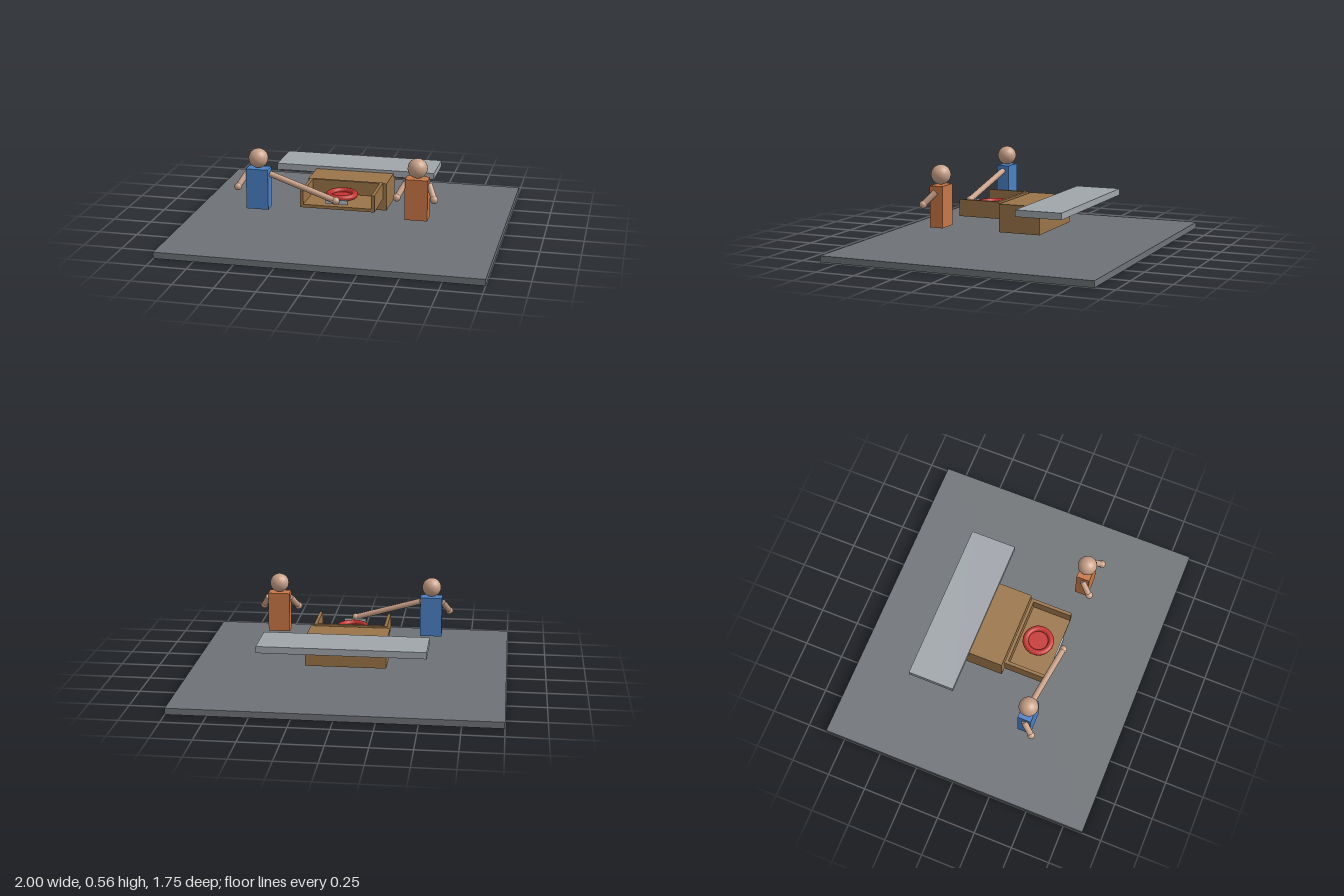
import * as THREE from 'three';

const mat = (name, color) => Object.assign(new THREE.MeshStandardMaterial({ color }), { name });

export function createModel() {
  const model = new THREE.Group();
  model.name = 'drawerScene';
  const floorGrey = mat('floor grey', 0x6e7276), slabGrey = mat('worktop grey', 0xa0a5ab);
  const wood = mat('wood', 0x9a7448), red = mat('red', 0xc23330), skin = mat('skin', 0xc8a088);
  const blue = mat('blue', 0x4a80c4), orange = mat('orange', 0xc87646), silver = mat('silver', 0xb4c0c8);

  const add = (parent, name, geometry, material, x = 0, y = 0, z = 0) => {
    const mesh = new THREE.Mesh(geometry, material);
    mesh.name = name;
    mesh.position.set(x, y, z);
    parent.add(mesh);
    return mesh;
  };
  // box given by its lower and upper limits
  const box = (parent, name, material, [x0, x1], [y0, y1], [z0, z1]) =>
    add(parent, name, new THREE.BoxGeometry(x1 - x0, y1 - y0, z1 - z0), material,
      (x0 + x1) / 2, (y0 + y1) / 2, (z0 + z1) / 2);
  const group = (name) => {
    const g = new THREE.Group();
    g.name = name;
    model.add(g);
    return g;
  };

  // floor, worktop and cabinet
  box(model, 'floor', floorGrey, [-1, 1], [0, 0.04], [-0.875, 0.875]);
  box(model, 'worktop', slabGrey, [-0.52, 0.52], [0.273, 0.315], [-0.488, -0.19]);
  box(model, 'cabinet', wood, [-0.255, 0.255], [0.118, 0.296], [-0.24, 0.032]);

  // drawer, open at the top and front
  const drawer = group('drawer');
  box(drawer, 'drawerBottom', wood, [-0.235, 0.235], [0.198, 0.218], [0.042, 0.315]);
  box(drawer, 'drawerBack', wood, [-0.215, 0.215], [0.218, 0.305], [0.042, 0.062]);
  for (const s of [-1, 1]) {
    const xs = [s * 0.235, s * 0.215].sort((a, b) => a - b);
    box(drawer, 'drawerSide', wood, xs, [0.218, 0.305], [0.042, 0.315]);
  }
  box(drawer, 'handle', silver, [-0.07, 0.07], [0.236, 0.264], [0.315, 0.327]);

  // red ring with a thin disc across its middle
  const ring = group('ring');
  add(ring, 'ringRim', new THREE.TorusGeometry(0.081, 0.019, 12, 36).rotateX(Math.PI / 2), red, 0, 0.255, 0.18);
  add(ring, 'ringDisc', new THREE.CylinderGeometry(0.072, 0.072, 0.012, 36), red, 0, 0.245, 0.18);

  // arm: a straight cylinder from shoulder to hand with a ball for the hand
  const addArm = (person, from, to) => {
    const a = new THREE.Vector3(...from), b = new THREE.Vector3(...to);
    const arm = add(person, 'arm', new THREE.CylinderGeometry(0.019, 0.019, a.distanceTo(b), 16), skin);
    arm.position.copy(a).lerp(b, 0.5);
    arm.quaternion.setFromUnitVectors(new THREE.Vector3(0, 1, 0), b.clone().sub(a).normalize());
    add(person, 'hand', new THREE.SphereGeometry(0.024, 16, 12), skin, ...to);
  };

  // two people, each with a block body
  const addPerson = (name, x, shirt, reach) => {
    const person = group(name);
    box(person, 'body', shirt, [x - 0.07, x + 0.07], [0.178, 0.435], [0.267, 0.353]);
    add(person, 'head', new THREE.SphereGeometry(0.061, 24, 16), skin, x, 0.498, 0.31);
    for (const s of [-1, 1]) {
      const hand = s === 1 && reach ? reach : [x + s * 0.115, 0.325, 0.375];
      addArm(person, [x + s * 0.073, 0.4, 0.31], hand);
    }
  };
  addPerson('bluePerson', -0.5, blue, [0, 0.267, 0.35]);
  addPerson('orangePerson', 0.5, orange, null);

  return model;
}
